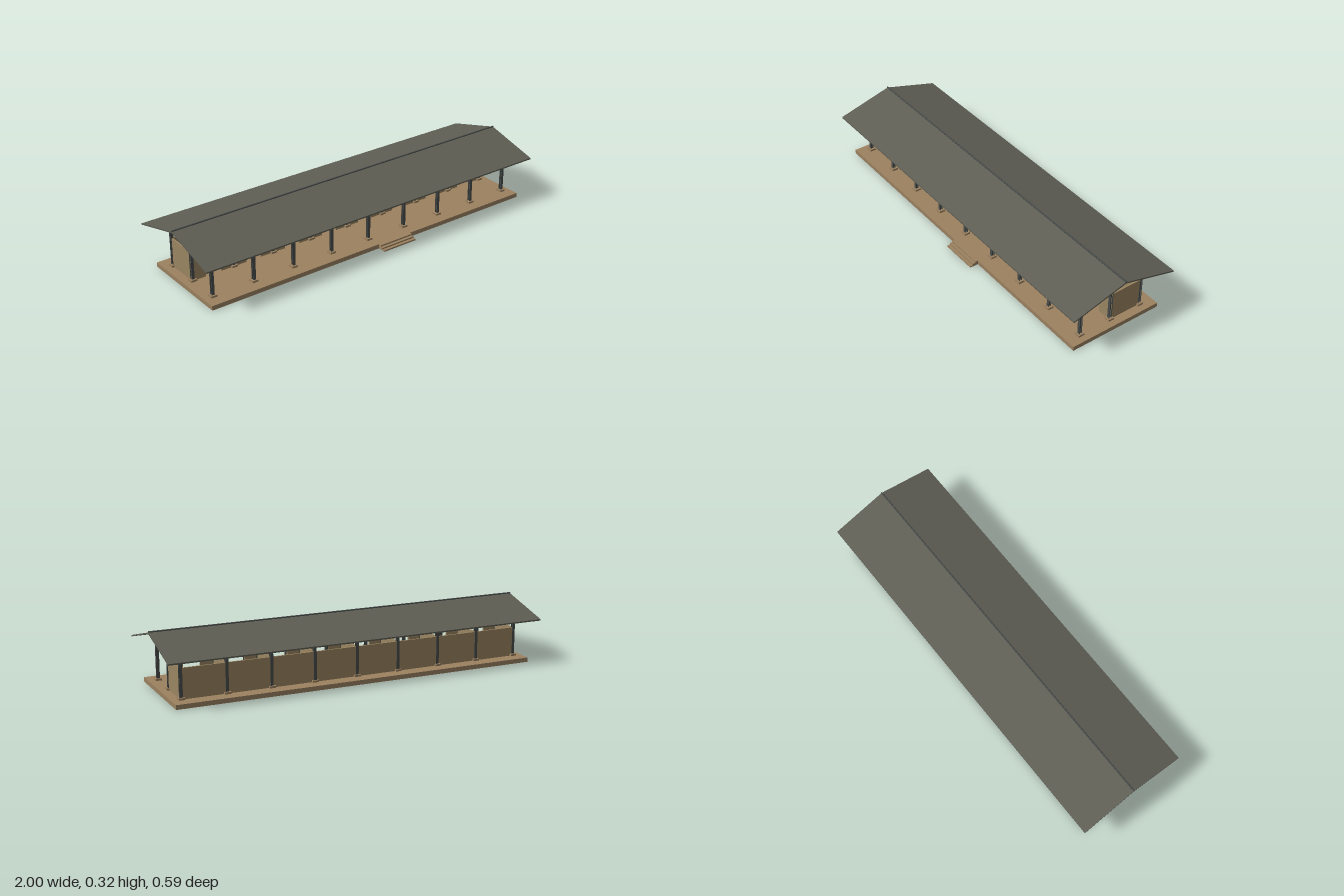
import * as THREE from 'three';

const mat = (name, color) => {
  const m = new THREE.MeshStandardMaterial({ color });
  m.name = name;
  return m;
};

export function createModel() {
  const model = new THREE.Group();
  model.name = 'openPavilion';
  const earth = mat('earth', 0x9b8160);
  const wall = mat('wall', 0x9a8561);
  const steel = mat('steel', 0x474c4a);
  const roofing = mat('roofing', 0x5e5e54);

  const building = new THREE.Group();
  building.name = 'building';
  building.position.z = -0.0015;
  model.add(building);

  const add = (name, geo, material, x = 0, y = 0, z = 0) => {
    const mesh = new THREE.Mesh(geo, material);
    mesh.name = name;
    mesh.position.set(x, y, z);
    building.add(mesh);
    return mesh;
  };
  // box given by its extents along each axis
  const box = (name, material, [x0, x1], [y0, y1], [z0, z1]) =>
    add(name, new THREE.BoxGeometry(x1 - x0, y1 - y0, z1 - z0), material,
      (x0 + x1) / 2, (y0 + y1) / 2, (z0 + z1) / 2);

  const bays = 8, pitch = 0.227, floor = 0.023, wallTop = 0.175, rowZ = 0.178;
  const gridX = i => (i - bays / 2) * pitch;

  // platform and three front steps
  box('platform', earth, [-0.957, 0.957], [0, floor], [-0.253, 0.253]);
  for (let i = 0; i < 3; i++) {
    box('step', earth, [0.01, 0.21], [0, floor - i * 0.0077],
      [0.253 + i * 0.015, 0.268 + i * 0.015]);
  }

  // H-section posts on square footings
  const hShape = new THREE.Shape();
  const w = 0.0075, t = 0.0045, s = 0.0015;
  [[-w, -w], [w, -w], [w, -t], [s, -t], [s, t], [w, t], [w, w], [-w, w],
    [-w, t], [-s, t], [-s, -t], [-w, -t]].forEach(([x, y], i) =>
    i ? hShape.lineTo(x, y) : hShape.moveTo(x, y));
  const postGeo = height => new THREE.ExtrudeGeometry(hShape, { depth: height, bevelEnabled: false })
    .rotateX(-Math.PI / 2);
  const outerPost = postGeo(0.257 - floor), ridgePost = postGeo(0.308 - floor);
  const footing = new THREE.BoxGeometry(0.032, 0.01, 0.032);
  for (let i = 0; i <= bays; i++) {
    for (const z of [-rowZ, 0, rowZ]) {
      add('footing', footing, earth, gridX(i), floor + 0.005, z);
      add('post', z ? outerPost : ridgePost, steel, gridX(i), floor, z);
    }
    box('crossBeam', roofing, [gridX(i) - 0.005, gridX(i) + 0.005], [0.217, 0.23], [-rowZ, rowZ]);
  }
  // long beams joining the posts
  for (const z of [-rowZ, rowZ]) {
    box('longBeam', steel, [gridX(0), gridX(bays)], [0.218, 0.229], [z - 0.005, z + 0.005]);
  }

  // rooms: back wall, cross walls, and a front wall with one doorway per bay
  const half = 0.004;
  box('backWall', wall, [gridX(0), gridX(bays)], [floor, wallTop], [-rowZ - half, -rowZ + half]);
  for (let i = 0; i <= bays; i++) {
    box('crossWall', wall, [gridX(i) - half, gridX(i) + half], [floor, wallTop], [-rowZ + half, -half]);
  }
  const front = new THREE.Shape();
  const a = gridX(0), b = gridX(bays);
  front.moveTo(a, floor);
  for (let i = 0; i < bays; i++) {
    const c = (gridX(i) + gridX(i + 1)) / 2, d = 0.043;
    front.lineTo(c - d, floor);
    front.lineTo(c - d, 0.145);
    front.lineTo(c + d, 0.145);
    front.lineTo(c + d, floor);
  }
  front.lineTo(b, floor);
  front.lineTo(b, wallTop);
  front.lineTo(a, wallTop);
  add('frontWall', new THREE.ExtrudeGeometry(front, { depth: 2 * half, bevelEnabled: false }),
    wall, 0, 0, -half);

  // gable roof: a thin folded section run along x
  const section = new THREE.Shape();
  [[-0.294, 0.226], [0, 0.305], [0.294, 0.226], [0.294, 0.233], [0, 0.313], [-0.294, 0.233]]
    .forEach(([z, y], i) => (i ? section.lineTo(z, y) : section.moveTo(z, y)));
  const roofGeo = new THREE.ExtrudeGeometry(section, { depth: 2, bevelEnabled: false })
    .translate(0, 0, -1).rotateY(Math.PI / 2);
  add('roof', roofGeo, roofing);
  add('ridgeCap', new THREE.CylinderGeometry(0.004, 0.004, 2, 8).rotateZ(Math.PI / 2),
    steel, 0, 0.315, 0);

  return model;
}
